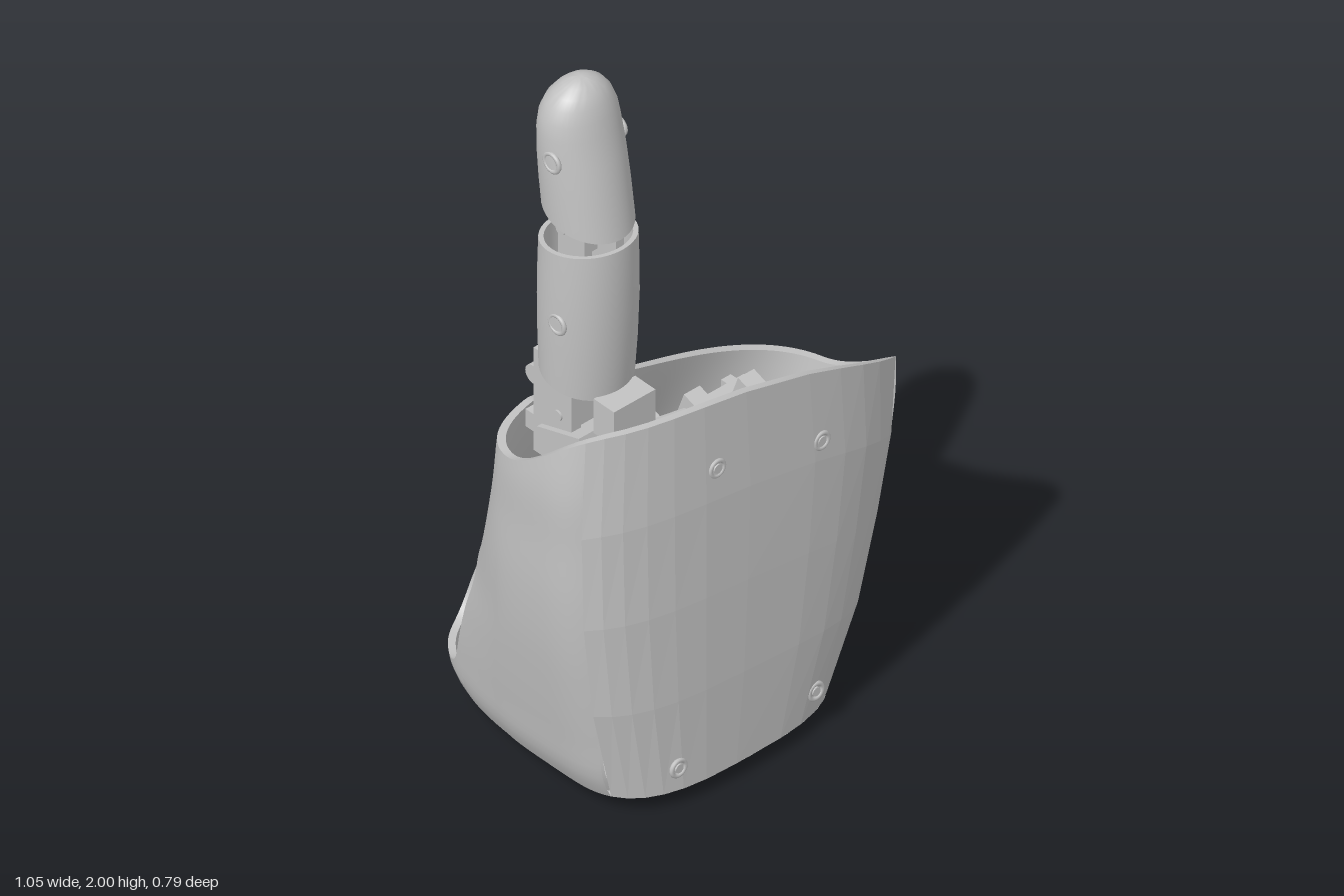
import * as THREE from 'three';
import { mergeVertices, toCreasedNormals } from 'three/addons/utils/BufferGeometryUtils.js';

const grey = new THREE.MeshStandardMaterial({ color: 0xc2c2c2, side: THREE.DoubleSide });
grey.name = 'light grey plastic';
const facetGrey = grey.clone();
facetGrey.flatShading = true;

const V = (x, y, z) => new THREE.Vector3(x, y, z);
const rad = THREE.MathUtils.degToRad;

// Shell outline by height: left x, right x, front z, back z, squareness of the back
const heights = [0.05, 0.1, 0.2, 0.35, 0.5, 0.65, 0.8, 0.95, 1.15];
const outline = [
  -0.43, 0.29, 0.388, -0.365, 2.3, -0.455, 0.32, 0.392, -0.39, 2.3, -0.475, 0.37, 0.393, -0.393, 2.3,
  -0.5, 0.425, 0.393, -0.34, 2.3, -0.52, 0.465, 0.392, -0.25, 2.4, -0.53, 0.5, 0.39, -0.18, 2.8,
  -0.53, 0.522, 0.385, -0.13, 3.3, -0.53, 0.52, 0.375, -0.1, 3.6, -0.5, 0.5, 0.36, -0.085, 3.6];
const spline = new THREE.CubicInterpolant(heights, outline, 5, new Float32Array(5));
const MID_Z = 0.15;

// Point on the shell at angle t (degrees, 90 = front) and height y
function section(t, y, inset = 0) {
  const [xl, xr, zf, zb, nb] = spline.evaluate(y);
  const c = Math.cos(rad(t)), s = Math.sin(rad(t));
  const n = s > 0 ? 3 : 2 + (nb - 2) * Math.min(1, -s * 3) + (1 - Math.min(1, -s * 3));
  const bend = (a) => Math.sign(a) * Math.abs(a) ** (2 / n);
  const half = (xr - xl) / 2 - inset;
  const depth = s > 0 ? zf - MID_Z - inset : MID_Z - zb - inset;
  const skew = s < 0 ? -0.1 * s * s * Math.max(0, 1 - (y / 0.9) ** 2) : 0;
  return V((xl + xr) / 2 + half * bend(c) + skew, y, MID_Z + depth * bend(s));
}
// The rim slopes down to +x and is lower at the back
function rimHeight(t) {
  const { x, z } = section(t, 0.92);
  const front = 1.085 - 0.2 * x - (x > 0 ? 0.45 : 0.25) * x * x;
  const back = Math.min(0.97, 0.87 - 0.3 * x);
  return THREE.MathUtils.lerp(back, front, THREE.MathUtils.smoothstep(z, 0.03, 0.33));
}
const shellPoint = (t, v, inset) => section(t, 0.05 + v * (rimHeight(t) - 0.05), inset);

// Grid surface from a rule; skip(i, j) leaves cells out
function sheet(fn, nu, nv, { flip = false, skip = () => false, extra = [] } = {}) {
  const pos = [];
  const addGrid = (f, w, h, leave) => {
    for (let i = 0; i < w; i++) for (let j = 0; j < h; j++) {
      if (leave(i, j)) continue;
      const a = f(i, j), b = f(i + 1, j), c = f(i + 1, j + 1), d = f(i, j + 1);
      for (const p of flip ? [a, b, d, b, c, d] : [a, d, b, b, d, c]) pos.push(p.x, p.y, p.z);
    }
  };
  addGrid(fn, nu, nv, skip);
  for (const [f, w, h] of extra) addGrid(f, w, h, () => false);
  const g = new THREE.BufferGeometry();
  g.setAttribute('position', new THREE.Float32BufferAttribute(pos, 3));
  return toCreasedNormals(mergeVertices(g, 1e-5), 0.7);
}

export function createModel() {
  const model = new THREE.Group();
  const add = (name, geo, x = 0, y = 0, z = 0, parent = model, mat = grey) => {
    const m = new THREE.Mesh(geo, mat);
    m.name = name;
    m.position.set(x, y, z);
    parent.add(m);
    return m;
  };
  const box = (name, w, h, d, x, y, z, parent) => add(name, new THREE.BoxGeometry(w, h, d), x, y, z, parent);
  const rod = (name, r, len, axis, x, y, z, parent) => {
    const g = new THREE.CylinderGeometry(r, r, len, 20);
    if (axis === 'x') g.rotateZ(Math.PI / 2);
    if (axis === 'z') g.rotateX(Math.PI / 2);
    return add(name, g, x, y, z, parent);
  };

  // Rear shell with a rounded thumb opening
  const NU = 92, NV = 32, T0 = 155, T1 = 385;
  const cell = { i0: 25, i1: 43, j0: 2, j1: 17 };
  const cw = cell.i1 - cell.i0, ch = cell.j1 - cell.j0;
  const at = (i, j, inset) => shellPoint(T0 + (T1 - T0) * i / NU, j / NV, inset);
  const border = (k) => {
    k %= 2 * (cw + ch);
    if (k < cw) return [k, 0];
    if (k < cw + ch) return [cw, k - cw];
    if (k < 2 * cw + ch) return [2 * cw + ch - k, ch];
    return [0, 2 * (cw + ch) - k];
  };
  const ringAt = (k, f, inset) => {
    const [i, j] = border(k);
    const p = 2 * i / cw - 1, q = 2 * j / ch - 1;
    const s = 1 + f * (0.9 / (Math.abs(p) ** 4 + Math.abs(q) ** 4) ** 0.25 - 1);
    return at(cell.i0 + cw * (1 + p * s) / 2, cell.j0 + ch * (1 + q * s) / 2, inset);
  };
  const skip = (i, j) => i >= cell.i0 && i < cell.i1 && j >= cell.j0 && j < cell.j1;
  const loop = 2 * (cw + ch);
  const WALL = 0.018;
  [0, WALL].forEach((inset) => add(inset ? 'rearShellInside' : 'rearShell',
    sheet((i, j) => at(i, j, inset), NU, NV, {
      flip: inset > 0, skip, extra: [[(k, f) => ringAt(k, 1 - f / 3, inset), loop, 3]],
    })));
  add('thumbOpeningEdge', sheet((k, f) => ringAt(k, 1, f * WALL), loop, 1));
  add('rearShellRim', sheet((i, j) => at(i, NV, j * WALL), NU, 1));

  // Faceted front cover, leaving a narrow gap to the rear shell on the +x side
  const front = (i, j, inset) => shellPoint(29 + 126 * i / 12, j / 4, inset);
  [0, WALL].forEach((inset) => add(inset ? 'frontCoverInside' : 'frontCover',
    sheet((i, j) => front(i, j, inset), 12, 4, { flip: inset > 0 }), 0, 0, 0, model, facetGrey));
  add('frontCoverRim', sheet((i, j) => front(i, 4, j * WALL), 12, 1));

  // Underside closing in to the wrist
  const WX = -0.075, WZ = -0.035;
  const underside = (t, f) => section(t, 0.05).lerp(
    V(WX + 0.265 * Math.cos(rad(t)), 0.045, WZ + 0.265 * Math.sin(rad(t))), f);
  add('underside', sheet((i, j) => underside(T0 + (T1 - T0) * i / NU, j / 3), NU, 3, { flip: true }));
  add('frontLip', sheet((i, j) => underside(25 + 130 * i / 12, j * 0.7), 12, 1, { flip: true }));

  // Wrist ring, hub and bolts
  const wrist = new THREE.Group();
  wrist.name = 'wrist';
  wrist.position.set(WX, 0, WZ);
  model.add(wrist);
  const ring = [[0.235, 0.01], [0.255, 0.02], [0.265, 0.06], [0.265, 0.14], [0.19, 0.14], [0.19, 0.05], [0.205, 0.01], [0.235, 0.01]];
  add('wristRing', new THREE.LatheGeometry(ring.map(([r, y]) => new THREE.Vector2(r, y)).reverse(), 14), 0, 0, 0, wrist, facetGrey);
  for (let k = 0; k < 8; k++) {
    const a = k * Math.PI / 4 + 0.3;
    rod('wristBolt', 0.014, 0.02, 'y', 0.222 * Math.cos(a), 0.01, 0.222 * Math.sin(a), wrist);
  }
  box('wristBridge', 0.4, 0.08, 0.05, 0, 0.09, 0.13, wrist);
  add('wristHook', new THREE.TorusGeometry(0.04, 0.018, 8, 20, 4.4).rotateX(Math.PI / 2), 0.06, 0.06, 0.15, wrist);

  // Inner frame, rising close to the front rim
  const plate = [[-0.42, 0.15], [0.2, 0.15], [0.36, 0.45], [0.46, 0.68], [0.46, 0.79], [0.36, 0.82], [0.27, 0.76], [0.19, 0.9],
    [0.03, 0.94], [-0.02, 0.86], [-0.1, 0.98], [-0.2, 1.0], [-0.24, 0.88], [-0.46, 0.85]].map(([x, y]) => new THREE.Vector2(x, y));
  add('framePlate', new THREE.ExtrudeGeometry(new THREE.Shape(plate), { depth: 0.035, bevelEnabled: false }), 0, 0, 0.2);
  box('motorBlock', 0.42, 0.56, 0.15, 0, 0.56, 0.14);
  for (const [x, y] of [[-0.18, 0.87], [-0.02, 0.84], [0.15, 0.8]]) {
    box('frameRib', 0.05, 0.2, 0.12, x, y, 0.16).rotation.x = 0.35;
  }
  box('sideBracket', 0.03, 0.3, 0.22, 0.25, 0.6, 0.07);
  box('sideBracket', 0.2, 0.14, 0.03, 0.36, 0.7, 0.17).rotation.y = -0.25;
  box('sideRib', 0.03, 0.3, 0.2, -0.46, 0.75, 0.12);

  // Thumb mount behind the opening
  const mount = new THREE.Group();
  mount.name = 'thumbMount';
  mount.position.set(-0.23, 0.27, -0.18);
  mount.rotation.y = 0.4;
  model.add(mount);
  box('mountPlate', 0.28, 0.03, 0.16, 0, -0.1, 0, mount);
  box('mountPlate', 0.28, 0.03, 0.16, 0, 0.12, 0.02, mount).rotation.z = -0.2;
  box('mountBack', 0.04, 0.2, 0.12, -0.11, 0, 0.02, mount);
  for (const x of [-0.06, 0.06]) rod('mountPin', 0.016, 0.02, 'y', x, -0.08, -0.03, mount);

  // Front screws with posts to the frame
  const frontZ = (x, y) => {
    const [xl, xr, zf] = spline.evaluate(y);
    const d = Math.abs((x - (xl + xr) / 2) / ((xr - xl) / 2));
    return MID_Z + (zf - MID_Z) * (1 - d ** 3) ** (1 / 3);
  };
  for (const [x, y] of [[-0.155, 0.93], [0.168, 0.845], [-0.28, 0.12], [0.15, 0.12]]) {
    const z = frontZ(x, y);
    rod('coverPost', 0.04, z - 0.235, 'z', x, y, (z + 0.195) / 2);
    add('screwRim', new THREE.TorusGeometry(0.021, 0.006, 8, 20), x, y, z - 0.003);
    rod('screwHead', 0.012, 0.012, 'z', x, y, z - 0.004);
  }

  // Finger
  const finger = new THREE.Group();
  finger.name = 'finger';
  finger.position.x = -0.32;
  model.add(finger);
  // Row: y, centre z, half width, half depth, slope of y along z
  const loft = (name, rows) => add(name, sheet((i, j) => {
    const a = i / 40 * Math.PI * 2, [y, cz, rx, rz, tilt] = rows[j];
    return V(rx * Math.cos(a), y + tilt * rz * Math.sin(a), cz + rz * Math.sin(a));
  }, 40, rows.length - 1), 0, 0, 0, finger);
  loft('lowerSegment', [
    [1.165, 0.105, 0.1, 0.093, -0.22], [1.165, 0.105, 0.115, 0.108, -0.22], [1.27, 0.108, 0.119, 0.114, -0.1],
    [1.38, 0.11, 0.12, 0.118, 0], [1.48, 0.111, 0.118, 0.119, 0.08], [1.557, 0.111, 0.115, 0.118, 0.15],
    [1.557, 0.111, 0.103, 0.105, 0.15], [1.36, 0.11, 0.105, 0.105, 0], [1.165, 0.105, 0.1, 0.093, -0.22]]);
  loft('fingertip', [
    [1.74, 0.09, 0.088, 0.083, 0], [1.632, 0.11, 0.093, 0.101, -0.27], [1.632, 0.11, 0.106, 0.114, -0.27],
    [1.72, 0.098, 0.108, 0.107, -0.12], [1.8, 0.087, 0.108, 0.099, 0], [1.87, 0.078, 0.106, 0.089, 0],
    [1.91, 0.076, 0.1, 0.082, 0], [1.945, 0.077, 0.086, 0.069, 0], [1.97, 0.08, 0.067, 0.053, 0],
    [1.988, 0.081, 0.043, 0.034, 0], [1.997, 0.082, 0.02, 0.016, 0], [2, 0.082, 0.0005, 0.0005, 0]]);
  for (const [y, z, r] of [[1.81, 0.1, 0.104], [1.36, 0.13, 0.115]]) {
    rod('jointPin', 0.014, r * 2, 'x', 0, y, z, finger);
    for (const s of [-1, 1]) add('pinRim', new THREE.TorusGeometry(0.024, 0.006, 8, 20).rotateY(Math.PI / 2), s * r, y, z, finger);
  }
  // Links between the segments
  for (const s of [-1, 1]) {
    box('middleLink', 0.025, 0.24, 0.09, s * 0.05, 1.58, 0.12, finger);
    box('knuckleCheek', 0.03, 0.3, 0.13, s * 0.06, 1.05, 0.07, finger);
  }
  box('middleTongue', 0.05, 0.2, 0.05, 0, 1.6, 0.09, finger);
  rod('middlePin', 0.015, 0.14, 'x', 0, 1.59, 0.09, finger);

  // Knuckle
  box('knuckleCore', 0.09, 0.36, 0.09, 0, 1.05, 0.08, finger);
  rod('knucklePin', 0.014, 0.16, 'x', 0, 1.05, 0.09, finger);
  rod('tendonRoller', 0.026, 0.1, 'x', 0, 1.09, -0.025, finger);
  box('rollerArm', 0.05, 0.03, 0.07, 0, 1.1, 0.01, finger).rotation.x = 0.4;
  box('knuckleBase', 0.18, 0.24, 0.15, 0, 0.9, 0.14, finger).rotation.x = -0.3;
  box('rearStop', 0.1, 0.05, 0.06, 0, 0.95, -0.02, finger);
  box('frontStop', 0.13, 0.1, 0.07, 0, 1.105, 0.235, finger);
  rod('frontStopPin', 0.035, 0.12, 'z', 0, 0.94, 0.28, finger);
  box('frontStopStem', 0.05, 0.2, 0.04, 0, 1.0, 0.24, finger);
  return model;
}
